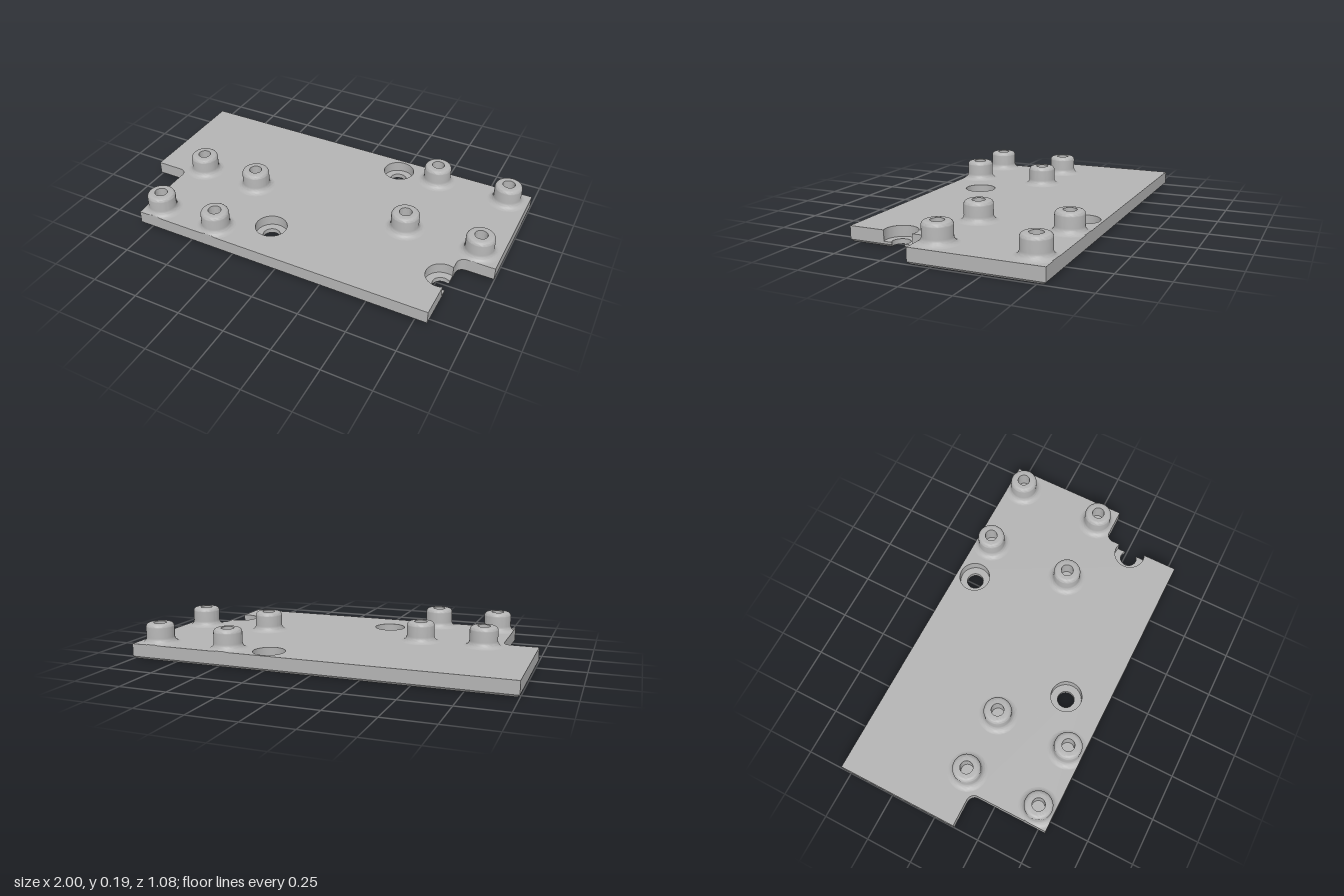
import * as THREE from 'three';
import { toCreasedNormals } from 'three/addons/utils/BufferGeometryUtils.js';

const BACK = 0.54, NOTCH = 0.115, SIDE = 0.815;   // plate outline, depth counted from the back as -z
const TOP = 0.08, LEDGE = 0.025, BEVEL = 0.013;
const BORE = 0.083, DRILL = 0.045;
const HOLES = [[0.26, 0.44], [-0.135, -0.325]];   // (x, -z)
const EDGE_HOLE = [0.785, -0.275];

// Points along an arc, in (x, -z)
function arc([cx, cy], r, a0, a1, n) {
  return Array.from({ length: n + 1 }, (_, i) => {
    const a = a0 + (a1 - a0) * i / n;
    return new THREE.Vector2(cx + r * Math.cos(a), cy + r * Math.sin(a));
  });
}

// Part circle of the screw hole that breaks through the side edge
function edgeArc(inset, r) {
  const a = Math.acos((SIDE - inset - EDGE_HOLE[0]) / r);
  return arc(EDGE_HOLE, r, -a, a - 2 * Math.PI, 40);
}

// Plate outline, counter-clockwise from above
function outline(inset, r) {
  const p = (x, y) => new THREE.Vector2(x, y);
  const i = inset;
  return [
    p(-SIDE + i, -BACK + i), p(SIDE - i, -BACK + i),
    ...edgeArc(i, r),
    ...arc([0.855, -0.155], 0.04 + i, Math.PI, Math.PI / 2, 10),
    p(1 - i, -NOTCH + i), p(1 - i, BACK - i), p(-1 + i, BACK - i), p(-1 + i, -NOTCH + i),
    ...arc([-0.855, -0.155], 0.04 + i, Math.PI / 2, 0, 10),
  ];
}

const circle = (c, r) => arc(c, r, 0, -2 * Math.PI, 48).slice(0, -1);

// Wall strip between two closed loops with equal point counts
function wall(low, y0, high, y1) {
  const pos = [];
  low.forEach((a, i) => {
    const j = (i + 1) % low.length, b = low[j], c = high[j], d = high[i];
    pos.push(a.x, y0, -a.y, b.x, y0, -b.y, c.x, y1, -c.y,
      a.x, y0, -a.y, c.x, y1, -c.y, d.x, y1, -d.y);
  });
  const g = new THREE.BufferGeometry();
  g.setAttribute('position', new THREE.Float32BufferAttribute(pos, 3));
  return toCreasedNormals(g, 0.5);
}

// Flat horizontal face
function cap(points, holes, y, down = false) {
  const shape = new THREE.Shape(points);
  shape.holes = holes.map(h => new THREE.Path(h));
  const g = new THREE.ShapeGeometry(shape).rotateX(-Math.PI / 2).translate(0, y, 0);
  if (down) {
    g.index.array.reverse();
    g.computeVertexNormals();
  }
  return g;
}

// Hollow post with a flared foot, trimmed where the foot would overhang the plate
function postGeometry(x, z) {
  const profile = [
    ...arc([0.105, 0.112], 0.032, -Math.PI / 2, -Math.PI, 8),
    ...arc([0.053, 0.165], 0.02, 0, Math.PI / 2, 6),
    new THREE.Vector2(0.033, 0.185), new THREE.Vector2(0.033, 0.1), new THREE.Vector2(0, 0.1),
  ];
  const g = new THREE.LatheGeometry(profile, 48).translate(x, 0, z);
  const p = g.attributes.position;
  const zMax = x > SIDE ? NOTCH : BACK;
  const xMin = z > 0.2 ? -SIDE : -1;
  for (let i = 0; i < p.count; i++) {
    p.setX(i, Math.max(p.getX(i), xMin));
    p.setZ(i, THREE.MathUtils.clamp(p.getZ(i), -BACK, zMax));
  }
  g.deleteAttribute('normal');
  g.deleteAttribute('uv');
  return toCreasedNormals(g, 0.6);
}

export function createModel() {
  const model = new THREE.Group();
  model.name = 'mountingPlate';
  const grey = new THREE.MeshStandardMaterial({ color: 0xb4b4b4 });
  grey.name = 'grey';
  const add = (name, geometry, parent) => {
    const m = new THREE.Mesh(geometry, grey);
    m.name = name;
    parent.add(m);
  };

  // Plate with bevelled underside
  const plate = new THREE.Group();
  plate.name = 'plate';
  model.add(plate);
  const upper = outline(0, BORE), lower = outline(0, DRILL), foot = outline(BEVEL, DRILL);
  add('plateTop', cap(upper, HOLES.map(c => circle(c, BORE)), TOP), plate);
  add('plateUnderside', cap(foot, HOLES.map(c => circle(c, DRILL)), 0, true), plate);
  add('upperEdge', wall(upper, LEDGE, upper, TOP), plate);
  add('lowerEdge', wall(lower, BEVEL, lower, LEDGE), plate);
  add('bottomBevel', wall(foot, 0, lower, BEVEL), plate);

  // Counterbored screw holes
  for (const c of HOLES) {
    const big = circle(c, BORE), small = circle(c, DRILL);
    add('holeBore', wall(big, LEDGE, big, TOP), plate);
    add('holeDrill', wall(small, 0, small, LEDGE), plate);
    add('holeLedge', cap(big, [small], LEDGE), plate);
  }
  add('edgeHoleLedge', cap([...edgeArc(0, BORE), ...edgeArc(0, DRILL).reverse()], [], LEDGE), plate);

  // Two groups of four posts
  const posts = new THREE.Group();
  posts.name = 'posts';
  model.add(posts);
  for (const [xs, zs] of [[[-0.725, -0.39], [0.05, 0.455]], [[0.485, 0.885], [-0.45, 0.022]]])
    for (const x of xs) for (const z of zs) add('post', postGeometry(x, z), posts);

  return model;
}
